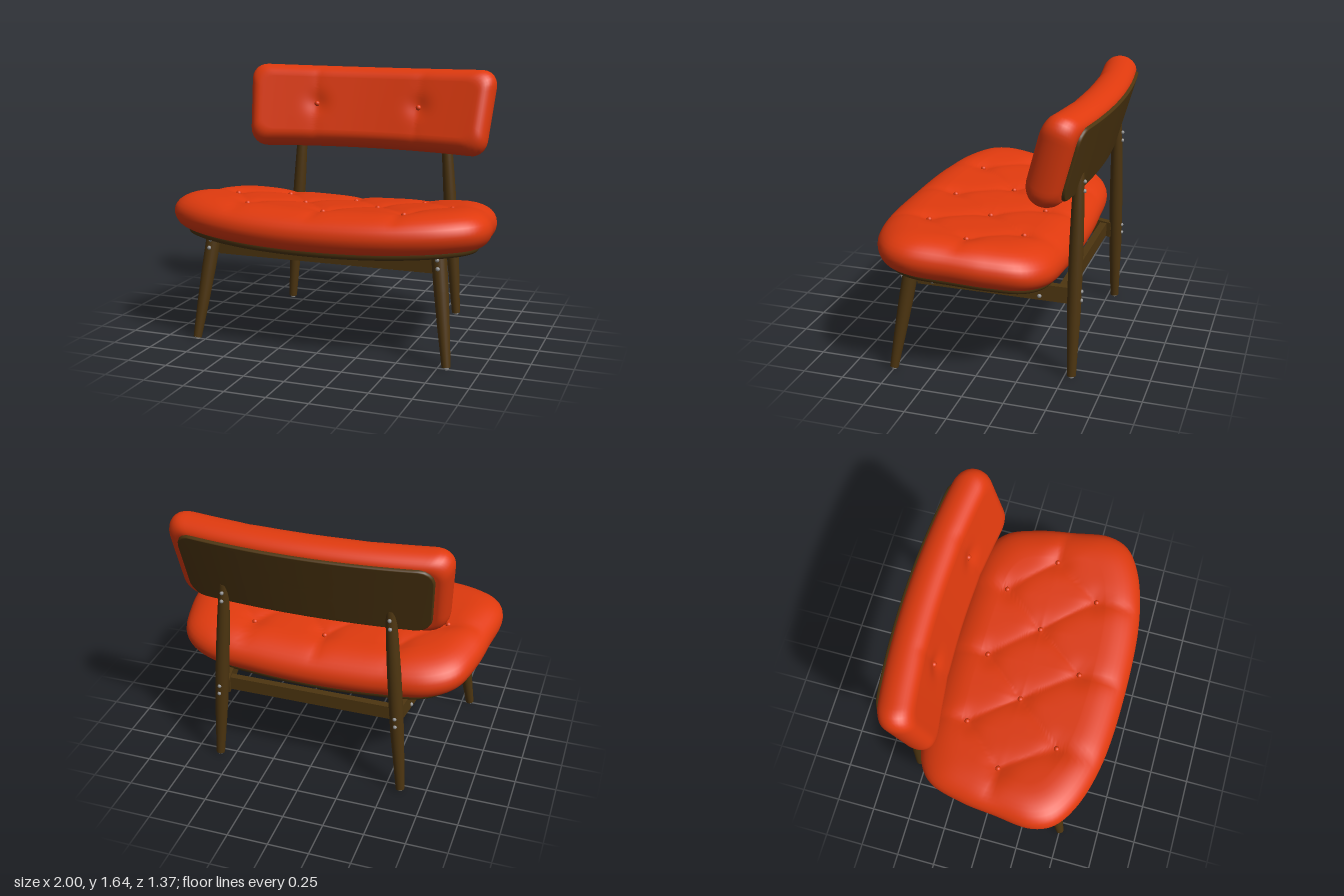
import * as THREE from 'three';

const mat = (name, color, side = THREE.FrontSide) => {
  const m = new THREE.MeshStandardMaterial({ color, side });
  m.name = name;
  return m;
};

export function createModel() {
  const group = new THREE.Group();
  const fabric = mat('orange red upholstery', 0xe03a0e);
  const wood = mat('dark wood', 0x4d3510);
  const metal = mat('grey metal', 0x8c8c8c);
  const cloth = mat('grey dust cover', 0x4a4a4c);
  const V = (x, y, z) => new THREE.Vector3(x, y, z);

  function add(name, geometry, material) {
    const mesh = new THREE.Mesh(geometry, material);
    mesh.name = name;
    group.add(mesh);
    return mesh;
  }

  // Closed pillow: counter-clockwise outline (a, b), rounded lower and upper rims,
  // place(a, b, t) bends it into position with t = 0 below and 1 above
  function pillow(outline, [ca, cb, ha, hb], low, roll, middle, place, inner = 30) {
    const rings = [];
    const steps = 9;
    for (let i = 0; i < 10; i++) rings.push([low, 0, i / 10]);
    for (let i = 0; i <= steps; i++) {
      const p = (i / steps - 1) * Math.PI / 2;
      rings.push([low * (1 - Math.cos(p)), middle * (1 + Math.sin(p)), 1]);
    }
    for (let i = 1; i <= steps; i++) {
      const p = i / steps * Math.PI / 2;
      rings.push([roll * (1 - Math.cos(p)), middle + (1 - middle) * Math.sin(p), 1]);
    }
    for (let i = inner - 1; i >= 0; i--) rings.push([roll, 1, i / inner]);
    const n = outline.length, pos = [], index = [];
    rings.forEach(([inset, t, f], i) => outline.forEach((p, j) => {
      const a = ca + (p.x - ca) * (1 - inset / ha) * f;
      const b = cb + (p.y - cb) * (1 - inset / hb) * f;
      pos.push(...place(a, b, t).toArray());
      if (i === rings.length - 1) return;
      const k = (j + 1) % n, r = i * n, s = r + n;
      index.push(r + j, r + k, s + k, r + j, s + k, s + j);
    }));
    const g = new THREE.BufferGeometry();
    g.setAttribute('position', new THREE.Float32BufferAttribute(pos, 3));
    g.setIndex(index);
    g.computeVertexNormals();
    return g;
  }

  function roundedRect(w, h, r, n = 120) {
    const s = new THREE.Shape();
    s.absarc(w - r, h - r, r, 0, Math.PI / 2);
    s.absarc(r - w, h - r, r, Math.PI / 2, Math.PI);
    s.absarc(r - w, r - h, r, Math.PI, Math.PI * 1.5);
    s.absarc(w - r, r - h, r, Math.PI * 1.5, Math.PI * 2);
    s.closePath();
    return s.getSpacedPoints(n).slice(0, n);
  }

  // Tufting pattern of the seat (x, z)
  const seatButtons = [[-0.46, -0.21], [0, -0.21], [0.46, -0.21], [-0.71, 0.06], [-0.24, 0.07],
    [0.24, 0.07], [0.71, 0.06], [-0.5, 0.37], [0, 0.385], [0.5, 0.37]];
  const creases = [];
  seatButtons.forEach(([x, z], i) => {
    for (const [x2, z2] of seatButtons.slice(i + 1)) {
      if (Math.abs(z - z2) > 0.2 && Math.abs(z - z2) < 0.4 && Math.abs(x - x2) < 0.3) creases.push([x, z, x2, z2]);
    }
    if (z > 0.3) creases.push([x, z, x, 0.6]);
    if (z < 0) creases.push([x, z, x, -0.42]);
    if (Math.abs(x) > 0.7) creases.push([x, z, x * 1.25, z]);
  });
  function tuft(x, z) {
    let crease = 0, dip = 0;
    for (const [x1, z1, x2, z2] of creases) {
      const dx = x2 - x1, dz = z2 - z1;
      const u = THREE.MathUtils.clamp(((x - x1) * dx + (z - z1) * dz) / (dx * dx + dz * dz), 0, 1);
      const d = Math.hypot(x - x1 - u * dx, z - z1 - u * dz);
      crease = Math.max(crease, 0.013 * Math.exp(-d / 0.045));
    }
    for (const [bx, bz] of seatButtons) {
      dip = Math.max(dip, 0.016 * Math.exp(-((x - bx) ** 2 + (z - bz) ** 2) / 0.006));
    }
    return crease + dip;
  }

  // Seat cushion, dished across and tilted back
  const seatBase = (x, z) => 0.60 + 0.085 * z + 0.065 * x * x;
  const seatPlace = (x, b, t) => V(x,
    seatBase(x, -b) + 0.24 * t - tuft(x, -b) * THREE.MathUtils.smoothstep(t, 0.6, 1), -b);
  const half = [[0.5, 0.66], [0.8, 0.575], [0.95, 0.47], [1, 0.34], [0.975, 0.1], [0.945, -0.12],
    [0.87, -0.34], [0.72, -0.44], [0.4, -0.47]];
  const loop = [[0, 0.69], ...half, [0, -0.48], ...half.map(([x, z]) => [-x, z]).reverse()];
  const seatOutline = new THREE.CatmullRomCurve3(loop.map(([x, z]) => V(x, -z, 0)), true)
    .getSpacedPoints(160).slice(0, 160);
  const seatFrame = [0, -0.1, 1, 0.59];
  add('seatCushion', pillow(seatOutline, seatFrame, 0.09, 0.22, 0.42, seatPlace, 44), fabric);

  // Seat board and dust cover underneath
  const boardOutline = seatOutline.map(p => new THREE.Vector2(p.x * 0.92, -0.1 + (p.y + 0.1) * 0.9));
  add('seatBoard', pillow(boardOutline, seatFrame, 0.02, 0.005, 0.7,
    (x, b, t) => V(x, seatBase(x, -b) - 0.026 + 0.04 * t, -b), 8), wood);
  add('dustCover', pillow(roundedRect(0.32, 0.18, 0.01, 80), [0, 0, 0.32, 0.18], 0.002, 0.002, 0.5,
    (x, b, t) => V(x, seatBase(x, 0.06 - b) - 0.031 + 0.008 * t, 0.06 - b), 6), cloth);

  // Backrest: curved around the sitter, leaning back, wider at the top
  const lean = 0.27, backX = 0.35, backV = 0.0;
  function backPlace(x, v, w) {
    const h = v * (1 + 0.06 * x * x);
    return V(x * (1 + 0.1 * v),
      1.375 + h * Math.cos(lean) + w * Math.sin(lean),
      -0.505 - h * Math.sin(lean) + w * Math.cos(lean) + 0.11 * x * x);
  }
  function backFront(x, v, t) {
    const d = Math.abs(x) - backX;
    const dip = 0.018 * Math.exp(-(d * d + (v - backV) ** 2) / 0.005) + 0.006 * Math.exp(-Math.abs(d) / 0.05);
    return backPlace(x, v, -0.105 + 0.21 * t - dip * THREE.MathUtils.smoothstep(t, 0.6, 1));
  }
  add('backCushion', pillow(roundedRect(0.825, 0.268, 0.1, 160), [0, 0, 0.825, 0.268], 0.06, 0.09, 0.45,
    backFront, 36), fabric);
  add('backBoard', pillow(roundedRect(0.745, 0.222, 0.09), [0, 0, 0.745, 0.222], 0.008, 0.004, 0.6,
    (x, v, t) => backPlace(x, v, -0.122 + 0.03 * t), 8), wood);

  // Upholstery buttons
  const ball = (name, p, r, material) => add(name, new THREE.SphereGeometry(r, 14, 10), material).position.copy(p);
  for (const [x, z] of seatButtons) ball('seatButton', seatPlace(x, -z, 1).add(V(0, 0.004, 0)), 0.017, fabric);
  for (const s of [-1, 1]) ball('backButton', backFront(s * backX, backV, 1), 0.018, fabric);

  // Round tapering rod from a to b through evenly spaced radii
  function rod(name, a, b, radii, material) {
    const dir = b.clone().sub(a), len = dir.length();
    const pts = radii.map((r, i) => new THREE.Vector2(r, len * i / (radii.length - 1)));
    const profile = [new THREE.Vector2(0, 0), pts[0].clone(), ...pts, pts.at(-1).clone(), new THREE.Vector2(0, len)];
    const mesh = add(name, new THREE.LatheGeometry(profile, 24), material);
    mesh.position.copy(a);
    mesh.quaternion.setFromUnitVectors(V(0, 1, 0), dir.normalize());
  }
  // Straight square-edged bar between two points
  function bar(name, a, b, width, height) {
    const mesh = add(name, new THREE.BoxGeometry(width, height, a.distanceTo(b)), wood);
    mesh.position.copy(a).lerp(b, 0.5);
    mesh.lookAt(b);
  }

  for (const s of [-1, 1]) {
    // Legs and posts
    const footF = V(s * 0.803, 0.012, 0.5), topF = V(s * 0.72, 0.66, 0.397);
    const footB = V(s * 0.594, 0.012, -0.544), topB = V(s * 0.502, 1.25, -0.542);
    rod('frontLeg', footF, topF, [0.026, 0.036, 0.043, 0.046], wood);
    rod('rearPost', footB, topB, [0.027, 0.034, 0.041, 0.042, 0.041, 0.037, 0.03], wood);
    for (const f of [footF, footB]) rod('footGlide', V(f.x, 0, f.z), f, [0.016, 0.018], metal);

    // Side rail with its screws
    const railF = V(s * 0.69, 0.586, 0.37), railB = V(s * 0.54, 0.51, -0.52);
    bar('sideRail', railF, railB, 0.045, 0.1);
    for (const k of [0.1, 0.8]) for (const dy of [-0.025, 0.028]) {
      ball('screw', railF.clone().lerp(railB, k).add(V(s * 0.023, dy, 0)), 0.013, metal);
    }
    // Screws in the legs
    for (const y of [0.58, 0.63]) {
      const p = footF.clone().lerp(topF, (y - 0.012) / 0.648);
      ball('screw', p.add(V(0, 0, 0.044)), 0.013, metal);
    }
    for (const y of [0.49, 0.545, 1.145, 1.2]) {
      const p = footB.clone().lerp(topB, (y - 0.012) / 1.238);
      ball('screw', p.add(V(0, 0, y > 1 ? -0.035 : -0.041)), 0.012, metal);
    }
  }

  // Cross rails
  bar('frontRail', V(-0.69, 0.578, 0.375), V(0.69, 0.578, 0.375), 0.045, 0.085);
  bar('rearRail', V(-0.55, 0.512, -0.465), V(0.55, 0.512, -0.465), 0.045, 0.085);

  return group;
}
